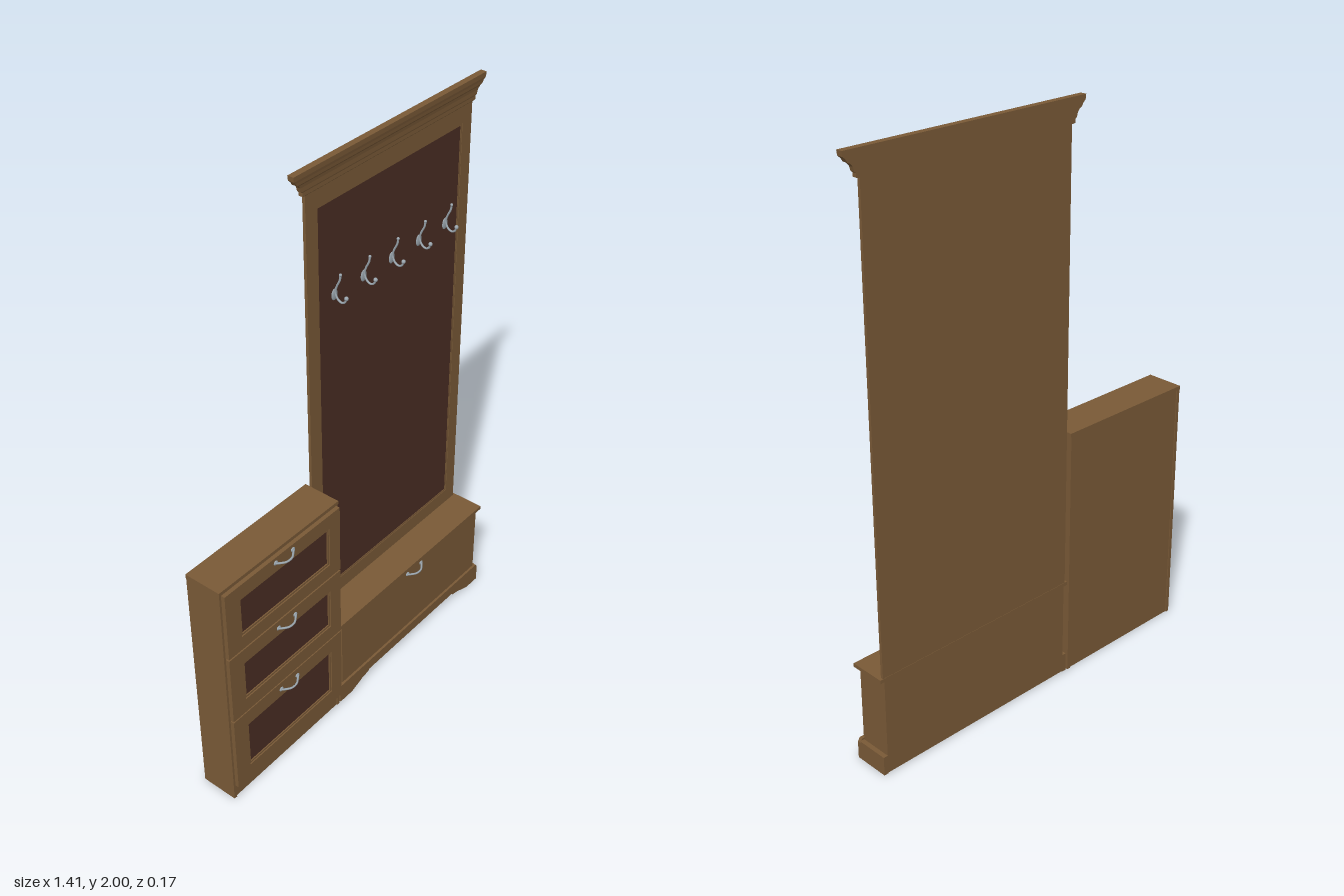
import * as THREE from 'three';

const mat = (name, color) => {
  const m = new THREE.MeshStandardMaterial({ color });
  m.name = name;
  return m;
};

export function createModel() {
  const root = new THREE.Group();
  root.name = 'hallwayFurniture';
  const wood = mat('wood', 0x7a5a37);
  const dark = mat('darkPanel', 0x4a2d23);
  const metal = mat('metal', 0x9ba6ae);

  const group = (name) => {
    const g = new THREE.Group();
    g.name = name;
    root.add(g);
    return g;
  };
  const add = (parent, name, geo, material) => {
    const m = new THREE.Mesh(geo, material);
    m.name = name;
    parent.add(m);
    return m;
  };
  // Box given by its limits on each axis
  const box = (parent, name, material, x0, x1, y0, y1, z0, z1) => {
    const m = add(parent, name, new THREE.BoxGeometry(x1 - x0, y1 - y0, z1 - z0), material);
    m.position.set((x0 + x1) / 2, (y0 + y1) / 2, (z0 + z1) / 2);
    return m;
  };
  const rectPoints = (x0, x1, y0, y1) =>
    [[x0, y0], [x1, y0], [x1, y1], [x0, y1]].map(([x, y]) => new THREE.Vector2(x, y));
  // Rectangular board with a rectangular opening
  const frame = (parent, name, outer, inner, z0, z1) => {
    const s = new THREE.Shape(rectPoints(...outer));
    s.holes.push(new THREE.Path(rectPoints(...inner).reverse()));
    const g = new THREE.ExtrudeGeometry(s, { depth: z1 - z0, bevelEnabled: false });
    g.translate(0, 0, z0);
    return add(parent, name, g, wood);
  };
  const grow = ([x0, x1, y0, y1], d) => [x0 - d, x1 + d, y0 - d, y1 + d];
  const tube = (parent, name, pts, r) => add(parent, name,
    new THREE.TubeGeometry(new THREE.CatmullRomCurve3(pts.map((p) => new THREE.Vector3(...p))), 24, r, 8), metal);

  // Bow handle with a foot at each end
  const handle = (parent, x, y, z, reach) => {
    const h = new THREE.Group();
    h.name = 'handle';
    h.position.set(x, y, z);
    tube(h, 'handleBow', [[-0.042, 0, 0.002], [-0.03, -0.002, reach * 0.45], [-0.012, -0.003, reach * 0.92],
      [0.012, -0.003, reach * 0.92], [0.03, -0.002, reach * 0.45], [0.042, 0, 0.002]], 0.0035);
    for (const s of [-1, 1]) {
      const foot = add(h, 'handleFoot', new THREE.SphereGeometry(1, 12, 8), metal);
      foot.scale.set(0.009, 0.008, 0.004);
      foot.position.set(s * 0.039, 0, 0.001);
    }
    parent.add(h);
  };

  // Shoe cabinet carcass
  const cab = group('shoeCabinet');
  box(cab, 'cabinetTop', wood, -0.705, -0.163, 0.897, 0.91, -0.088, 0.046);
  box(cab, 'cabinetSide', wood, -0.703, -0.691, 0, 0.897, -0.088, 0.044);
  box(cab, 'cabinetSide', wood, -0.177, -0.165, 0, 0.897, -0.088, 0.044);
  box(cab, 'cabinetBack', wood, -0.691, -0.177, 0, 0.897, -0.084, -0.078);
  box(cab, 'cabinetFloor', wood, -0.691, -0.177, 0.045, 0.057, -0.078, 0.04);
  box(cab, 'cabinetPlinth', wood, -0.691, -0.177, 0, 0.05, 0.028, 0.04);

  // Three tilting fronts: bottom, top, panel bottom, panel top, handle height
  for (const [y0, y1, p0, p1, hy] of [
    [0.06, 0.363, 0.117, 0.305, 0.335],
    [0.368, 0.634, 0.423, 0.578, 0.607],
    [0.64, 0.896, 0.692, 0.842, 0.877]]) {
    const d = new THREE.Group();
    d.name = 'drawerFront';
    cab.add(d);
    const open = [-0.635, -0.222, p0, p1];
    frame(d, 'drawerFrame', [-0.696, -0.172, y0, y1], open, 0.045, 0.059);
    frame(d, 'drawerMoulding', open, grow(open, -0.007), 0.045, 0.055);
    box(d, 'drawerPanel', dark, ...grow(open, -0.002), 0.045, 0.051);
    handle(d, -0.435, hy, 0.059, 0.023);
  }

  // Bench: body, flap, seat board
  const bench = group('bench');
  box(bench, 'benchBody', wood, -0.142, 0.64, 0.04, 0.345, -0.085, 0.028);
  box(bench, 'benchFlap', wood, -0.139, 0.637, 0.076, 0.342, 0.028, 0.036);
  box(bench, 'benchSeat', wood, -0.158, 0.656, 0.345, 0.358, -0.086, 0.043);
  handle(bench, 0.262, 0.325, 0.036, 0.023);

  // Bench plinth with a scalloped front apron
  const half = [[0.345, 0], [0.31, 0.012], [0.285, 0.022], [0.255, 0.027], [0.245, 0.036], [0.225, 0.041]];
  const cx = 0.249;
  const apron = new THREE.Shape();
  apron.moveTo(-0.158, 0);
  half.forEach(([x, y]) => apron.lineTo(cx - x, y));
  [...half].reverse().forEach(([x, y]) => apron.lineTo(cx + x, y));
  [[0.656, 0], [0.656, 0.062], [0.648, 0.074], [-0.15, 0.074], [-0.158, 0.062]].forEach((p) => apron.lineTo(...p));
  const apronGeo = new THREE.ExtrudeGeometry(apron, { depth: 0.012, bevelEnabled: false });
  apronGeo.translate(0, 0, 0.031);
  add(bench, 'benchApron', apronGeo, wood);
  box(bench, 'plinthSide', wood, -0.158, -0.142, 0, 0.068, -0.085, 0.031);
  box(bench, 'plinthSide', wood, 0.64, 0.656, 0, 0.068, -0.085, 0.031);
  box(bench, 'plinthCore', wood, -0.142, 0.64, 0.003, 0.04, -0.085, 0.024);

  // Tall coat panel
  const wall = group('coatPanel');
  const opening = [-0.1, 0.598, 0.413, 1.865];
  box(wall, 'backBoard', wood, -0.147, 0.645, 0.358, 1.93, -0.085, -0.08);
  frame(wall, 'panelFrame', [-0.147, 0.645, 0.358, 1.93], opening, -0.08, -0.075);
  frame(wall, 'panelMoulding', opening, grow(opening, -0.007), -0.08, -0.0765);
  box(wall, 'hookPanel', dark, ...grow(opening, -0.003), -0.08, -0.078);

  // Cornice: rectangular sections swelling upwards [height, side overhang, front z]
  const rings = [[1.92, 0.002, -0.0745], [1.922, 0.012, -0.0735], [1.934, 0.012, -0.0735], [1.938, 0.017, -0.0725],
    [1.952, 0.021, -0.072], [1.962, 0.029, -0.0705], [1.966, 0.038, -0.069], [1.976, 0.044, -0.068],
    [1.984, 0.053, -0.0665], [2.0, 0.055, -0.066]];
  const pos = [];
  const corners = rings.map(([y, o, z]) =>
    [[-0.147 - o, y, -0.088], [-0.147 - o, y, z], [0.647 + o, y, z], [0.647 + o, y, -0.088]]);
  const quad = (a, b, c, d) => pos.push(...a, ...b, ...c, ...a, ...c, ...d);
  for (let i = 0; i < corners.length - 1; i++) {
    for (let k = 0; k < 4; k++) {
      const n = (k + 1) % 4;
      quad(corners[i][k], corners[i][n], corners[i + 1][n], corners[i + 1][k]);
    }
  }
  quad(...corners[corners.length - 1]);
  quad(...[...corners[0]].reverse());
  const cornice = new THREE.BufferGeometry();
  cornice.setAttribute('position', new THREE.Float32BufferAttribute(pos, 3));
  cornice.computeVertexNormals();
  add(wall, 'cornice', cornice, wood);

  // Five coat hooks, each with a rosette and an S-shaped arm
  for (let i = 0; i < 5; i++) {
    const hook = new THREE.Group();
    hook.name = 'coatHook';
    hook.position.set(-0.022 + i * 0.1375, 1.545, -0.078);
    wall.add(hook);
    const plate = add(hook, 'hookRosette', new THREE.SphereGeometry(1, 16, 10), metal);
    plate.scale.set(0.014, 0.02, 0.004);
    tube(hook, 'hookArm', [[0, 0.073, 0.024], [0, 0.055, 0.021], [0, 0.03, 0.009], [0, 0.008, 0.004],
      [0, -0.012, 0.013], [0, -0.019, 0.027], [0, -0.013, 0.04], [0, 0.001, 0.046]], 0.0035);
    for (const [y, z, r] of [[0.074, 0.024, 0.005], [0.002, 0.046, 0.007]]) {
      const tip = add(hook, 'hookTip', new THREE.SphereGeometry(r, 10, 8), metal);
      tip.position.set(0, y, z);
    }
  }
  return root;
}
